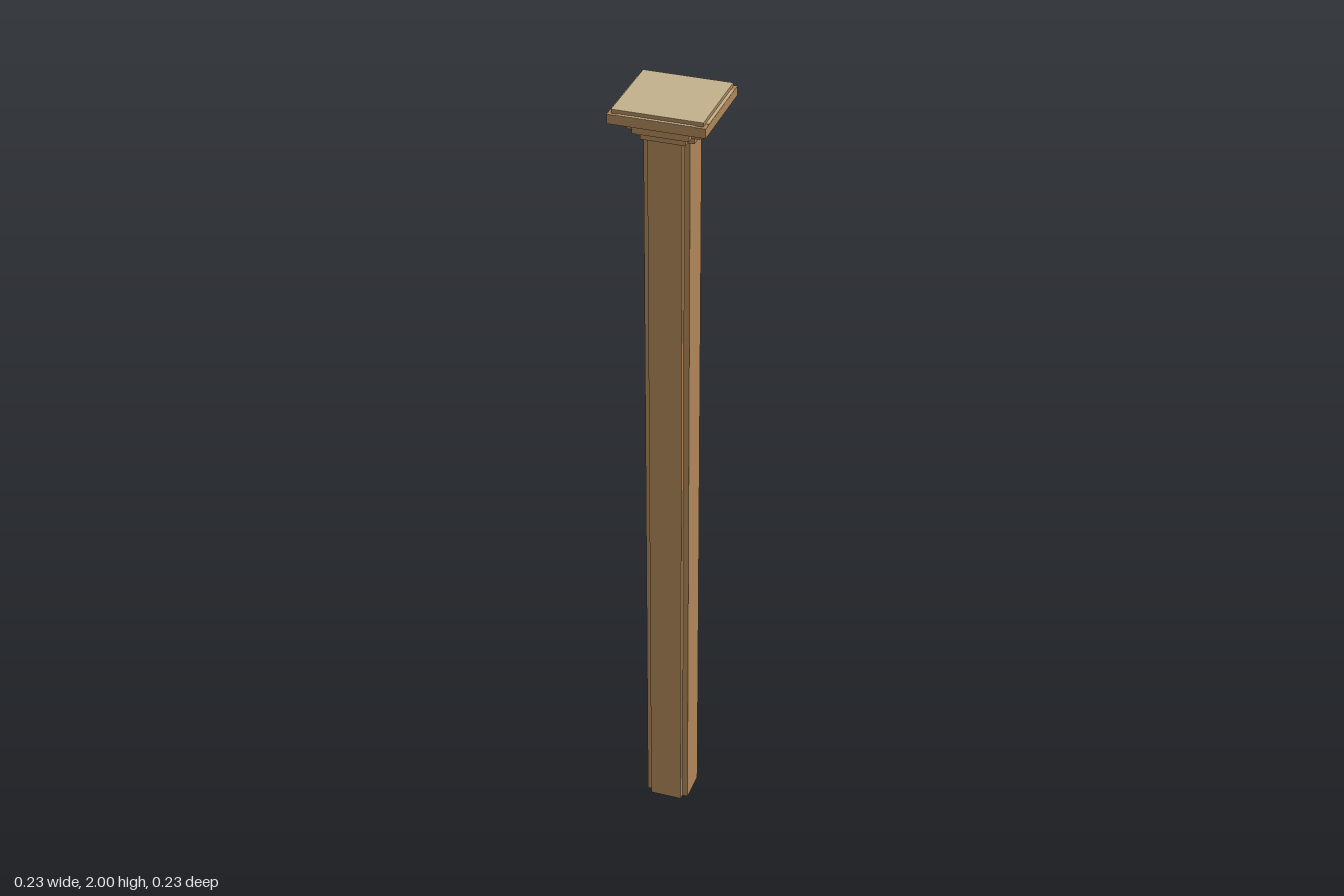
import * as THREE from 'three';

const wood = new THREE.MeshStandardMaterial({ color: 0xb0875a });
wood.name = 'brown wood';
const tan = new THREE.MeshStandardMaterial({ color: 0xc4b28c });
tan.name = 'pale tan';

// Square outline with a square notch cut from each corner
function notchedSquare(half, notch) {
  const a = half, b = half - notch;
  return new THREE.Shape([
    [a, -b], [a, b], [b, b], [b, a], [-b, a], [-b, b],
    [-a, b], [-a, -b], [-b, -b], [-b, -a], [b, -a], [b, -b],
  ].map(([x, y]) => new THREE.Vector2(x, y)));
}

export function createModel() {
  const group = new THREE.Group();
  group.name = 'column';

  const add = (name, geometry, material) => {
    const mesh = new THREE.Mesh(geometry, material);
    mesh.name = name;
    group.add(mesh);
    return mesh;
  };
  const notchedBlock = (name, half, notch, y0, y1, material = wood) => {
    const geometry = new THREE.ExtrudeGeometry(notchedSquare(half, notch), { depth: y1 - y0, bevelEnabled: false });
    geometry.rotateX(-Math.PI / 2).translate(0, y0, 0);
    return add(name, geometry, material);
  };
  const squareBlock = (name, half, y0, y1, material = wood) =>
    add(name, new THREE.BoxGeometry(half * 2, y1 - y0, half * 2).translate(0, (y0 + y1) / 2, 0), material);

  // Shaft with recessed corners
  notchedBlock('shaft', 0.055, 0.014, 0, 1.92);

  // Stepped capital, widening upward
  notchedBlock('lowerCapitalStep', 0.069, 0.016, 1.917, 1.937);
  notchedBlock('upperCapitalStep', 0.086, 0.019, 1.937, 1.967);

  // Wide slab, with pale rim faces between its bare corners
  squareBlock('slab', 0.115, 1.967, 1.99);
  notchedBlock('slabRim', 0.1148, 0.024, 1.99, 1.991, tan);

  // Raised top panel with a pale face
  squareBlock('topPanel', 0.107, 1.99, 1.999);
  squareBlock('topFace', 0.107, 1.999, 2, tan);

  return group;
}
